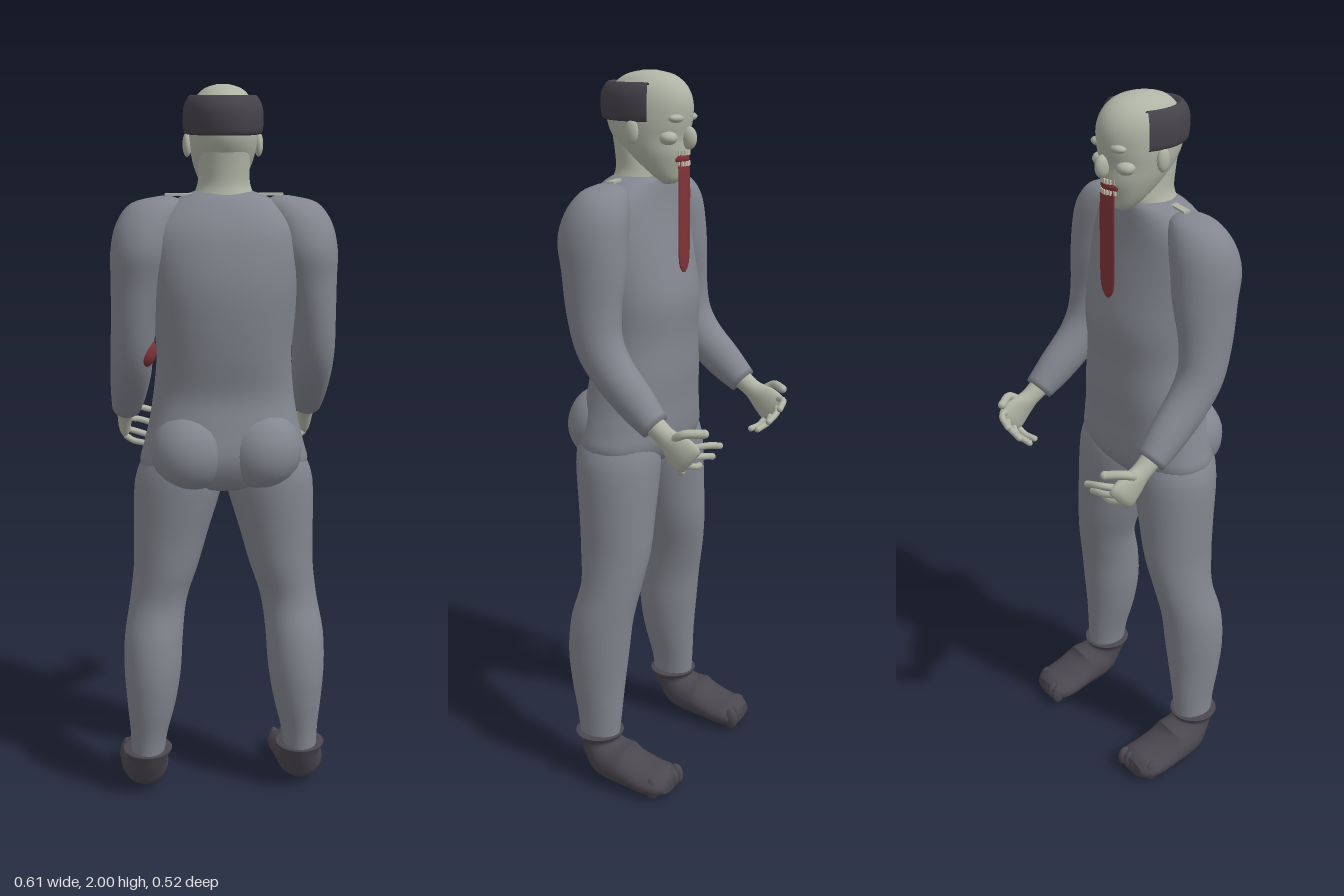
import * as THREE from 'three';

const mat = (name, color, side = THREE.FrontSide) => {
  const m = new THREE.MeshStandardMaterial({ color, side });
  m.name = name;
  return m;
};

// Smooth skin over oval rings [x, y, z, radiusX, radiusDepth, tilt]; tilt turns travel from down to forward (-z).
function loft(rings, { seg = 32, steps = 4, arc = null, power = 1 } = {}) {
  const pos = [], idx = [], n = rings.length;
  const [a0, a1] = arc || [0, Math.PI * 2];
  const cols = arc ? seg + 1 : seg;
  const at = (i, k) => rings[Math.min(n - 1, Math.max(0, i))][k] || 0;
  const spline = (i, t, k) => {
    const a = at(i - 1, k), b = at(i, k), c = at(i + 1, k), d = at(i + 2, k);
    return b + 0.5 * t * (c - a + t * (2 * a - 5 * b + 4 * c - d + t * (3 * (b - c) + d - a)));
  };
  const bend = v => Math.sign(v) * Math.abs(v) ** power;
  const rows = (n - 1) * steps + 1;
  for (let r = 0; r < rows; r++) {
    const i = Math.min(n - 2, Math.floor(r / steps)), t = r / steps - i;
    const [x, y, z, rx, rd, tilt] = [0, 1, 2, 3, 4, 5].map(k => spline(i, t, k));
    for (let j = 0; j < cols; j++) {
      const a = a0 + (a1 - a0) * j / seg, s = rd * bend(Math.sin(a));
      pos.push(x + rx * bend(Math.cos(a)), y - s * Math.sin(tilt), z + s * Math.cos(tilt));
    }
  }
  for (let r = 0; r < rows - 1; r++) for (let j = 0; j < seg; j++) {
    const k = (j + 1) % cols, a = r * cols + j, b = r * cols + k;
    idx.push(a, b, b + cols, a, b + cols, a + cols);
  }
  if (!arc) {
    const last = (rows - 1) * cols, c = rows * cols;
    pos.push(...rings[0].slice(0, 3), ...rings[n - 1].slice(0, 3));
    for (let j = 0; j < seg; j++) {
      const k = (j + 1) % seg;
      idx.push(c, k, j, c + 1, last + j, last + k);
    }
  }
  const g = new THREE.BufferGeometry();
  g.setAttribute('position', new THREE.Float32BufferAttribute(pos, 3));
  g.setIndex(idx);
  g.computeVertexNormals();
  return g;
}

export function createModel() {
  const model = new THREE.Group();
  model.name = 'figure';
  const suit = mat('suit grey', 0x83868f);
  const skin = mat('pale skin', 0xb0b4a5);
  const hairMat = mat('dark hair', 0x45424a, THREE.DoubleSide);
  const shoe = mat('dark shoe', 0x4a474f);
  const red = mat('dark red', 0x7e3339);
  const bone = mat('tooth ivory', 0xc2bda8);

  const add = (name, geo, m, parent = model) => {
    const mesh = new THREE.Mesh(geo, m);
    mesh.name = name;
    parent.add(mesh);
    return mesh;
  };
  const ball = (name, m, p, s) => {
    const mesh = add(name, new THREE.SphereGeometry(1, 20, 14), m);
    mesh.position.set(...p);
    mesh.scale.set(...s);
    return mesh;
  };
  const side = (s, rings) => rings.map(([x, ...rest]) => [s * x, ...rest]);

  // Torso
  add('torso', loft([
    [0, 1.73, 0.085, 0.075, 0.07], [0, 1.71, 0.095, 0.125, 0.085], [0, 1.66, 0.108, 0.185, 0.105],
    [0, 1.6, 0.113, 0.205, 0.122], [0, 1.5, 0.108, 0.2, 0.142], [0, 1.4, 0.095, 0.19, 0.15],
    [0, 1.3, 0.09, 0.182, 0.14], [0, 1.2, 0.08, 0.19, 0.13], [0, 1.12, 0.088, 0.203, 0.133],
    [0, 1.05, 0.095, 0.22, 0.138], [0, 1.0, 0.095, 0.23, 0.13], [0, 0.95, 0.095, 0.2, 0.1],
    [0, 0.93, 0.095, 0.12, 0.06],
  ], { seg: 48, power: 0.88 }), suit);

  // Neck and head
  add('neck', loft([
    [0, 1.86, 0.1, 0.07, 0.07], [0, 1.8, 0.098, 0.067, 0.062], [0, 1.75, 0.085, 0.069, 0.072],
    [0, 1.715, 0.09, 0.082, 0.075], [0, 1.68, 0.09, 0.09, 0.07],
  ]), skin);
  add('head', loft([
    [0, 2.0, 0.06, 0.015, 0.02], [0, 1.988, 0.06, 0.05, 0.07], [0, 1.96, 0.06, 0.075, 0.105],
    [0, 1.92, 0.06, 0.088, 0.121], [0, 1.87, 0.062, 0.09, 0.12], [0, 1.83, 0.058, 0.085, 0.106],
    [0, 1.79, 0.042, 0.075, 0.09], [0, 1.75, 0.025, 0.058, 0.062], [0, 1.722, 0.008, 0.038, 0.035],
    [0, 1.71, 0.005, 0.02, 0.018],
  ], { seg: 40 }), skin);

  // Band of hair round the back and sides
  add('hair', loft([
    [0, 1.965, 0.062, 0.072, 0.102], [0, 1.972, 0.064, 0.086, 0.113], [0, 1.95, 0.065, 0.1, 0.13],
    [0, 1.92, 0.065, 0.105, 0.135], [0, 1.88, 0.065, 0.102, 0.13], [0, 1.873, 0.065, 0.088, 0.115],
  ], { seg: 40, arc: [-0.38, Math.PI + 0.38] }), hairMat);

  // Face
  ball('nose', skin, [0, 1.83, -0.057], [0.016, 0.03, 0.022]);
  ball('mouth', red, [0, 1.778, -0.028], [0.036, 0.022, 0.024]);
  for (const y of [1.792, 1.764]) for (let i = -3; i <= 3; i++) {
    const tooth = add('tooth', new THREE.BoxGeometry(0.007, 0.012, 0.007), bone);
    tooth.position.set(i * 0.009, y, -0.051 + i * i * 0.0013);
  }
  add('tongue', loft([
    [0, 1.78, -0.03, 0.024, 0.006], [0, 1.75, -0.042, 0.03, 0.006], [0, 1.6, -0.043, 0.031, 0.006],
    [0, 1.52, -0.043, 0.029, 0.006], [0, 1.49, -0.043, 0.021, 0.005], [0, 1.475, -0.043, 0.006, 0.003],
  ], { seg: 20 }), red);

  for (const s of [-1, 1]) {
    ball('brow', skin, [s * 0.036, 1.882, -0.038], [0.03, 0.012, 0.018]);
    ball('cheek', skin, [s * 0.05, 1.832, -0.022], [0.026, 0.018, 0.024]);
    ball('ear', skin, [s * 0.094, 1.848, 0.062], [0.012, 0.032, 0.019]);
    const flap = add('shoulderSkin', new THREE.BoxGeometry(0.09, 0.006, 0.02), skin);
    flap.position.set(s * 0.11, 1.722, 0.1);
    flap.rotation.y = s * 0.15;

    // Arm and hand
    add('sleeve', loft(side(s, [
      [0.155, 1.718, 0.1, 0.02, 0.025], [0.175, 1.7, 0.1, 0.07, 0.058], [0.2, 1.65, 0.105, 0.084, 0.085],
      [0.215, 1.58, 0.11, 0.085, 0.096], [0.225, 1.5, 0.102, 0.076, 0.09], [0.24, 1.4, 0.095, 0.062, 0.078, 0.1],
      [0.247, 1.31, 0.075, 0.058, 0.068, 0.4], [0.25, 1.24, 0.03, 0.056, 0.06, 0.75],
      [0.255, 1.17, -0.04, 0.05, 0.054, 0.8], [0.26, 1.115, -0.1, 0.042, 0.04, 0.85],
    ])), suit);
    add('palm', loft(side(s, [
      [0.26, 1.125, -0.09, 0.028, 0.03, 0.85], [0.262, 1.095, -0.13, 0.025, 0.028, 0.9],
      [0.265, 1.07, -0.165, 0.021, 0.043, 0.9], [0.265, 1.045, -0.195, 0.018, 0.049, 0.9],
      [0.262, 1.036, -0.21, 0.01, 0.038, 0.9],
    ]), { seg: 20 }), skin);
    const fingers = [
      [[0.268, 1.085, -0.15], [0.275, 1.112, -0.19], [0.243, 1.112, -0.235]],
      [[0.265, 1.075, -0.208], [0.235, 1.08, -0.242], [0.19, 1.068, -0.252]],
      [[0.267, 1.052, -0.205], [0.225, 1.045, -0.227], [0.176, 1.03, -0.224]],
      [[0.267, 1.028, -0.19], [0.225, 1.012, -0.2], [0.181, 1.0, -0.188]],
      [[0.265, 1.01, -0.172], [0.24, 0.995, -0.165], [0.209, 0.99, -0.153]],
    ];
    fingers.forEach((pts, i) => {
      const curve = new THREE.CatmullRomCurve3(pts.map(([x, y, z]) => new THREE.Vector3(s * x, y, z)));
      const r = i === 0 ? 0.012 : 0.009;
      add(i === 0 ? 'thumb' : 'finger', new THREE.TubeGeometry(curve, 10, r, 10), skin);
      const [x, y, z] = pts[2];
      ball('fingertip', skin, [s * x, y, z], [r, r, r]);
    });

    // Buttock, leg and shoe
    ball('buttock', suit, [s * 0.098, 1.045, 0.155], [0.108, 0.11, 0.103]);
    add('leg', loft(side(s, [
      [0.12, 1.02, 0.1, 0.1, 0.11], [0.125, 0.95, 0.095, 0.121, 0.118], [0.148, 0.8, 0.0875, 0.103, 0.108],
      [0.163, 0.7, 0.085, 0.09, 0.102], [0.185, 0.6, 0.088, 0.08, 0.089], [0.2, 0.5, 0.11, 0.082, 0.091],
      [0.205, 0.4, 0.12, 0.08, 0.09], [0.21, 0.3, 0.12, 0.069, 0.08], [0.218, 0.2, 0.113, 0.053, 0.067],
      [0.222, 0.13, 0.112, 0.047, 0.06],
    ])), suit);
    add('shoe', loft(side(s, [
      [0.222, 0.148, 0.112, 0.07, 0.07], [0.222, 0.125, 0.11, 0.058, 0.06, 0.1],
      [0.226, 0.1, 0.092, 0.06, 0.062, 0.4], [0.229, 0.077, 0.058, 0.068, 0.073, 0.75],
      [0.23, 0.06, 0, 0.071, 0.051, 1.4], [0.228, 0.046, -0.06, 0.073, 0.042, 1.57],
      [0.226, 0.043, -0.105, 0.069, 0.037, 1.57], [0.224, 0.04, -0.13, 0.048, 0.022, 1.57],
    ])), shoe);
    for (let i = 0; i < 5; i++) {
      ball('toe', shoe, [s * (0.178 + i * 0.025), 0.042, -0.118 + i * i * 0.0015], [0.015, 0.032, 0.022]);
    }
  }

  // Wound on the right elbow
  ball('elbowWound', red, [-0.213, 1.312, 0.1], [0.031, 0.045, 0.036]);
  return model;
}
